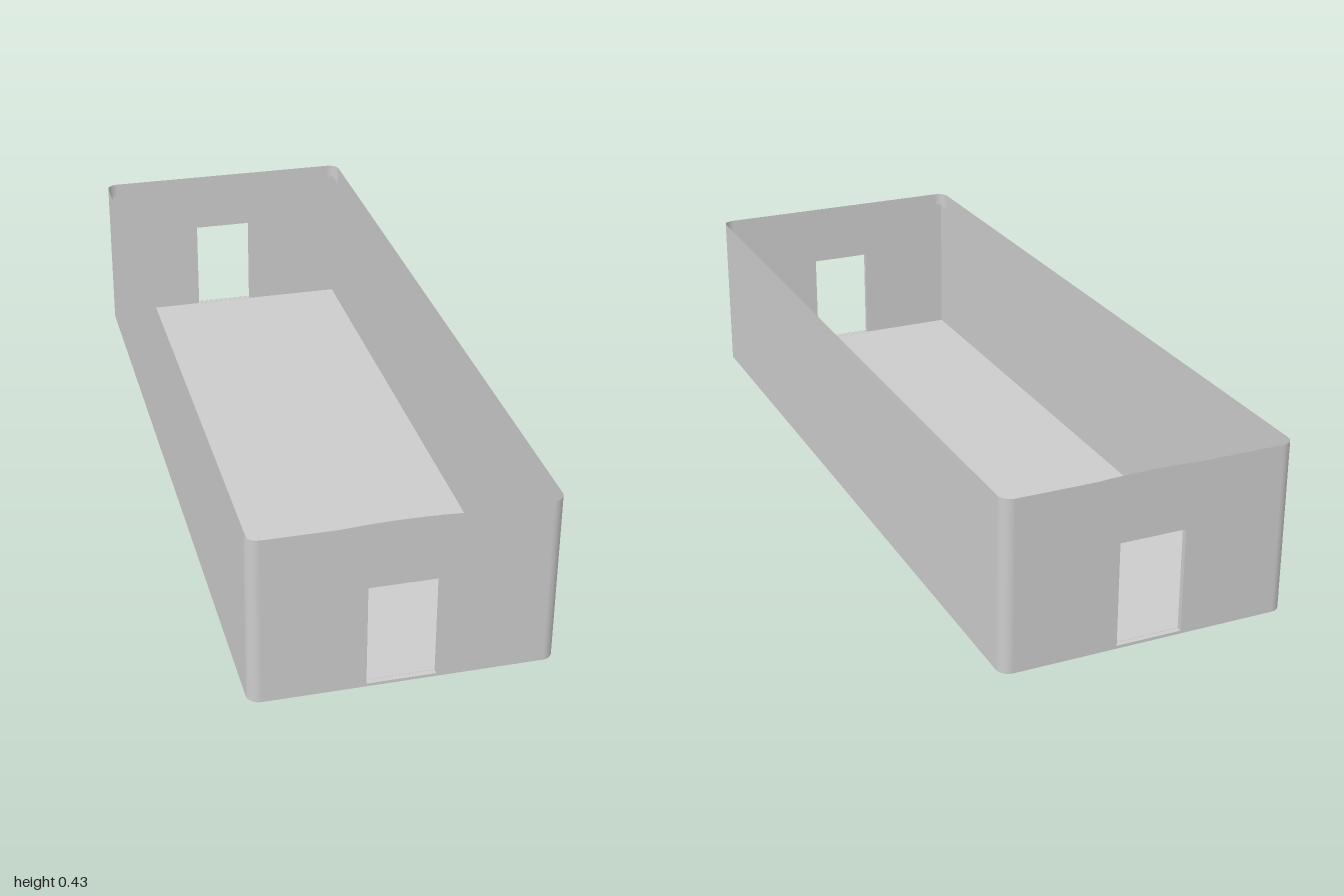
import * as THREE from 'three';

const HW = 0.357, HL = 1, H = 0.425, R = 0.03; // outer shell half sizes, height, corner radius
const T = 0.014, FLOOR = 0.007;                // wall thickness, floor level
const SPRING = 0.393, CROWN = 0.421;           // inner lining height at sides and middle
const DOOR = { x0: -0.088, x1: 0.075, y0: FLOOR, y1: 0.265 };

const material = new THREE.MeshStandardMaterial({ color: 0xcccccc, side: THREE.DoubleSide });

function add(parent, name, geometry, x = 0, y = 0, z = 0, rx = 0, ry = 0) {
  const mesh = new THREE.Mesh(geometry, material);
  mesh.name = name;
  mesh.position.set(x, y, z);
  mesh.rotation.set(rx, ry, 0);
  parent.add(mesh);
  return mesh;
}

// End panel with a doorway; its top rises from side height to crown height in an arc
function endPanel(hw, y0, side, crown) {
  const s = new THREE.Shape();
  s.moveTo(-hw, y0);
  s.lineTo(hw, y0);
  s.lineTo(hw, side);
  if (crown > side) s.quadraticCurveTo(0, 2 * crown - side, -hw, side);
  else s.lineTo(-hw, side);
  s.closePath();
  const { x0, x1, y0: b, y1: t } = DOOR;
  const hole = new THREE.Path();
  hole.moveTo(x0, b + 0.0005);
  hole.lineTo(x0, t);
  hole.lineTo(x1, t);
  hole.lineTo(x1, b + 0.0005);
  hole.closePath();
  s.holes.push(hole);
  const g = new THREE.ShapeGeometry(s, 24);
  return g;
}

function roundedRect(hw, hl, r) {
  const s = new THREE.Shape();
  s.absarc(hw - r, hl - r, r, 0, Math.PI / 2);
  s.absarc(-hw + r, hl - r, r, Math.PI / 2, Math.PI);
  s.absarc(-hw + r, -hl + r, r, Math.PI, Math.PI * 1.5);
  s.absarc(hw - r, -hl + r, r, Math.PI * 1.5, Math.PI * 2);
  return s;
}

export function createModel() {
  const model = new THREE.Group();
  model.name = 'openHall';
  const innerW = HW - T, innerL = HL - T;

  // Underside and inner floor
  add(model, 'underside', new THREE.ShapeGeometry(roundedRect(HW, HL, R), 8), 0, 0, 0, Math.PI / 2);
  add(model, 'floor', new THREE.PlaneGeometry(innerW * 2, innerL * 2), 0, FLOOR, 0, -Math.PI / 2);

  // Long sides: outer wall and lower inner lining
  for (const s of [1, -1]) {
    add(model, 'outerSideWall', new THREE.PlaneGeometry((HL - R) * 2, H), s * HW, H / 2, 0, 0, s * Math.PI / 2);
    add(model, 'innerSideWall', new THREE.PlaneGeometry(innerL * 2, SPRING - FLOOR),
      s * innerW, (SPRING + FLOOR) / 2, 0, 0, -s * Math.PI / 2);
  }

  // Rounded vertical corners
  for (let i = 0; i < 4; i++) {
    const sx = i < 2 ? 1 : -1, sz = i === 0 || i === 3 ? 1 : -1;
    const start = [0, 1, 2, 3][i] * Math.PI / 2;
    add(model, 'roundedCorner', new THREE.CylinderGeometry(R, R, H, 8, 1, true, start, Math.PI / 2),
      sx * (HW - R), H / 2, sz * (HL - R));
  }

  // Ends: outer wall, arched inner lining and doorway reveals
  const { x0, x1, y0, y1 } = DOOR;
  const cx = (x0 + x1) / 2, cy = (y0 + y1) / 2;
  for (const s of [1, -1]) {
    const end = new THREE.Group();
    end.name = s > 0 ? 'frontEnd' : 'backEnd';
    const outer = endPanel(HW - R, 0, H, H);
    const inner = endPanel(innerW, 0, SPRING, CROWN);
    // Turn each panel by mirroring so the doorways stay in line
    const facing = (g, dir) => {
      if (dir < 0) {
        const idx = g.index;
        for (let k = 0; k < idx.count; k += 3) {
          const a = idx.getX(k);
          idx.setX(k, idx.getX(k + 1));
          idx.setX(k + 1, a);
        }
        g.computeVertexNormals();
      }
      return g;
    };
    add(end, 'outerEndWall', facing(outer, s), 0, 0, s * HL);
    add(end, 'innerEndWall', facing(inner, -s), 0, 0, s * innerL);
    const z = s * (HL - T / 2);
    add(end, 'doorJamb', new THREE.PlaneGeometry(T, y1 - y0), x0, cy, z, 0, Math.PI / 2);
    add(end, 'doorJamb', new THREE.PlaneGeometry(T, y1 - y0), x1, cy, z, 0, -Math.PI / 2);
    add(end, 'doorHead', new THREE.PlaneGeometry(x1 - x0, T), cx, y1, z, Math.PI / 2);
    add(end, 'doorSill', new THREE.PlaneGeometry(x1 - x0, T), cx, y0, z, -Math.PI / 2);
    model.add(end);
  }
  return model;
}
